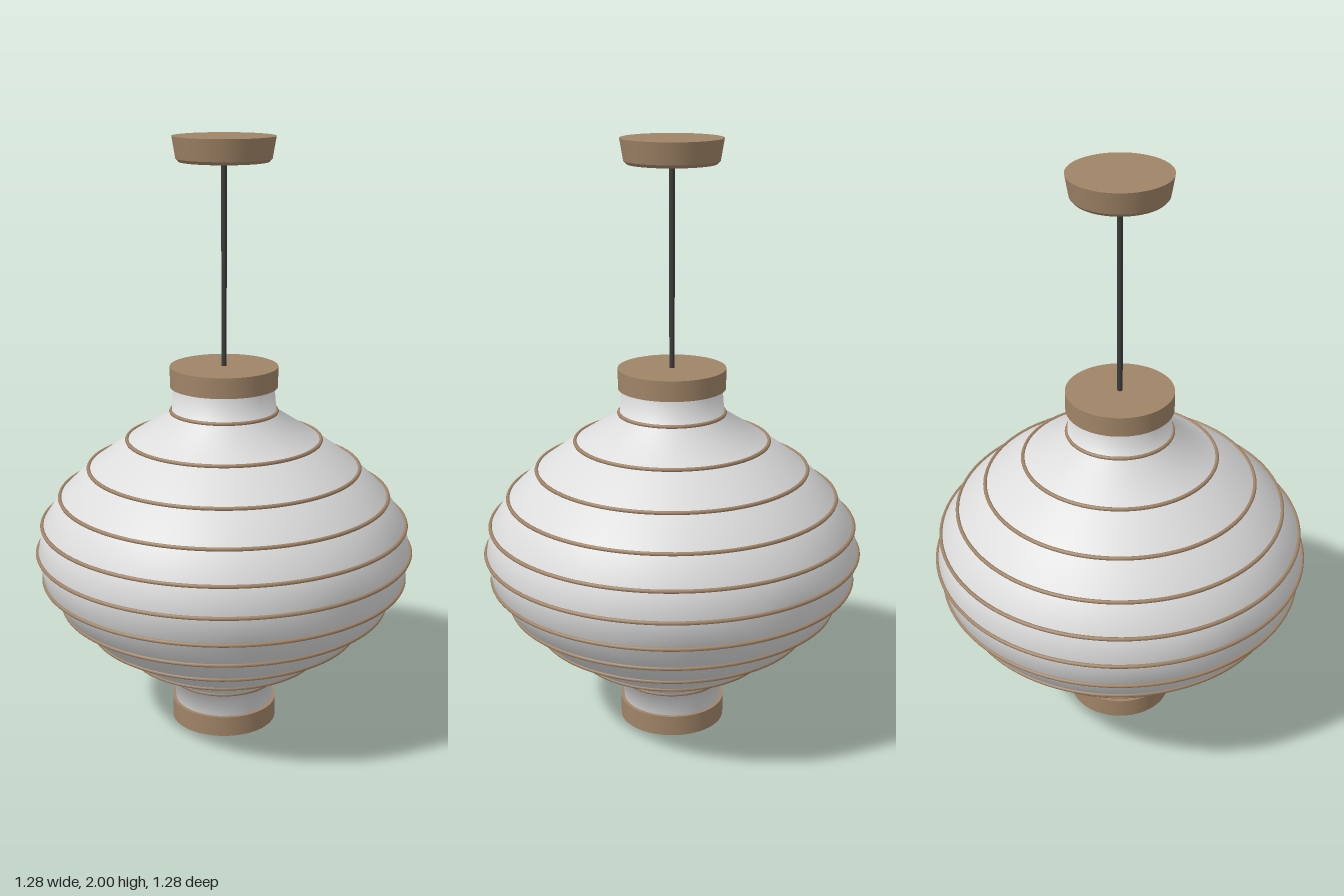
import * as THREE from 'three';

export function createModel() {
  const model = new THREE.Group();
  const paper = new THREE.MeshStandardMaterial({ color: 0xdcdcdc, side: THREE.DoubleSide });
  paper.name = 'paper';
  const wood = new THREE.MeshStandardMaterial({ color: 0xa08467 });
  wood.name = 'wood';
  const black = new THREE.MeshStandardMaterial({ color: 0x3c3c3c });
  black.name = 'cord black';

  function add(name, geometry, material, y) {
    const mesh = new THREE.Mesh(geometry, material);
    mesh.name = name;
    mesh.position.y = y;
    model.add(mesh);
    return mesh;
  }

  // Shade radius at each rib, from the middle outwards
  const middle = 0.63, step = 0.0952;
  const radii = [0.63, 0.612, 0.55, 0.452, 0.322, 0.174];
  const ribs = [];
  for (let i = -5; i <= 5; i++) ribs.push(new THREE.Vector2(radii[Math.abs(i)], middle + i * step));

  // Paper shade with a short neck at each end
  const profile = [new THREE.Vector2(0.166, 0.05), ...ribs, new THREE.Vector2(0.166, 1.21)];
  add('shade', new THREE.LatheGeometry(profile, 96), paper, 0);

  // Thin wooden ribs
  for (const rib of ribs) {
    const ring = add('rib', new THREE.TorusGeometry(rib.x + 0.002, 0.0065, 8, 96), wood, rib.y);
    ring.rotation.x = Math.PI / 2;
  }

  // End caps
  add('bottomCap', new THREE.CylinderGeometry(0.179, 0.179, 0.07, 64), wood, 0.035);
  add('topCap', new THREE.CylinderGeometry(0.179, 0.179, 0.068, 64), wood, 1.224);

  // Cord and tapered ceiling canopy with an eased lower edge
  add('cord', new THREE.CylinderGeometry(0.009, 0.009, 0.69, 16), black, 1.59);
  add('canopy', new THREE.CylinderGeometry(0.166, 0.154, 0.07, 64), wood, 1.965);
  add('canopyEdge', new THREE.CylinderGeometry(0.154, 0.145, 0.01, 64), wood, 1.925);

  return model;
}
